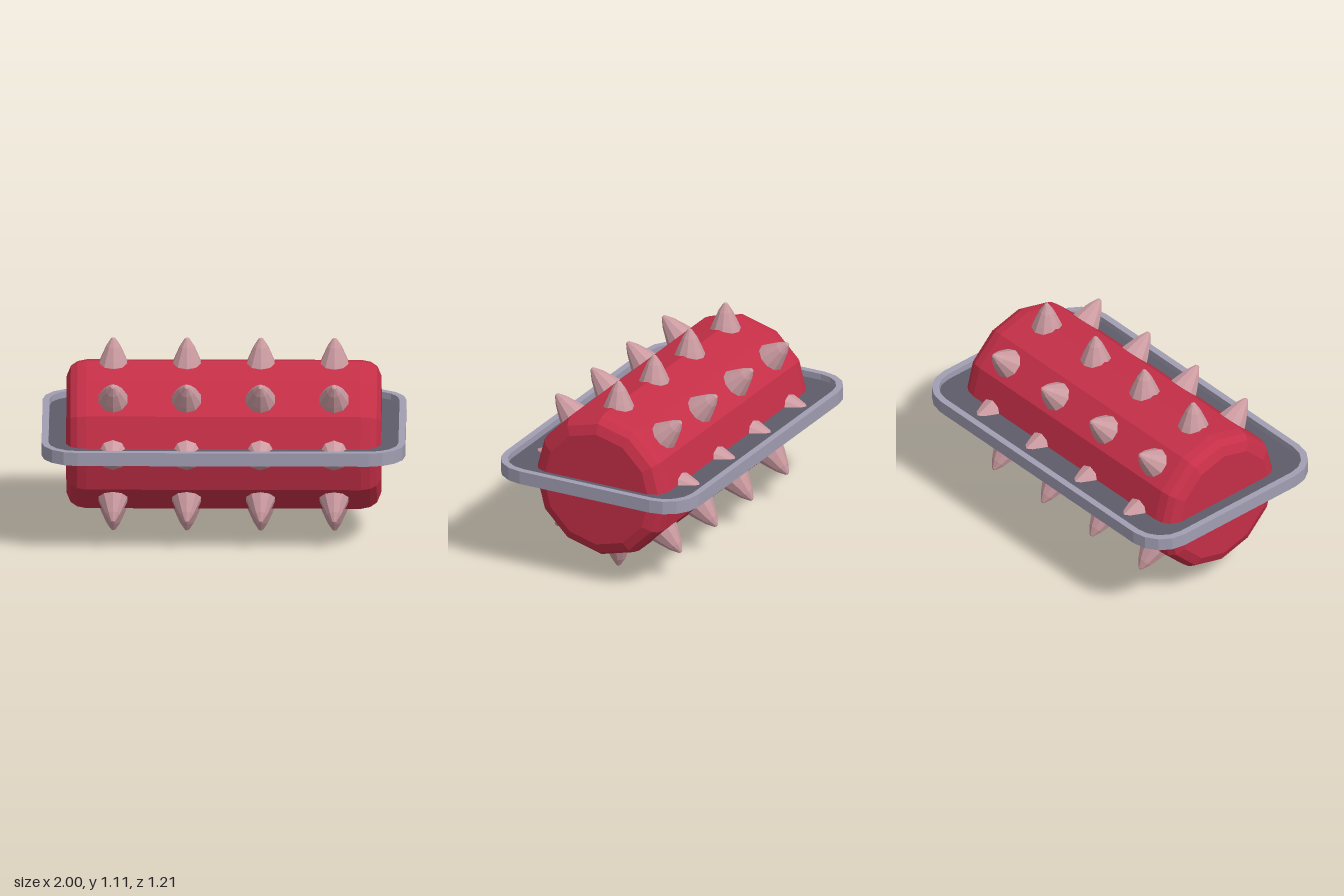
import * as THREE from 'three';

const CENTRE_Y = 0.555;

function material(name, color) {
  const m = new THREE.MeshStandardMaterial({ color });
  m.name = name;
  return m;
}

// Rectangle with rounded corners, made of few segments
function roundedRect(halfX, halfZ, r) {
  const points = [];
  const steps = 4;
  for (let corner = 0; corner < 4; corner++) {
    const sx = corner === 0 || corner === 3 ? 1 : -1;
    const sz = corner < 2 ? 1 : -1;
    for (let i = 0; i <= steps; i++) {
      const a = (corner + i / steps) * Math.PI / 2;
      points.push(new THREE.Vector2(
        sx * (halfX - r) + r * Math.cos(a),
        sz * (halfZ - r) + r * Math.sin(a)));
    }
  }
  return points;
}

// Horizontal slab from a shape, lying between y0 and y1
function slab(shape, y0, y1) {
  const g = new THREE.ExtrudeGeometry(shape, { depth: y1 - y0, bevelEnabled: false });
  g.rotateX(-Math.PI / 2);
  g.translate(0, y0, 0);
  return g;
}

// Faceted turned form; profile is [radius, height] from bottom to top
function turned(profile, sides) {
  const points = profile.map(([r, h]) => new THREE.Vector2(r, h));
  const g = new THREE.LatheGeometry(points, sides).toNonIndexed();
  g.computeVertexNormals();
  return g;
}

export function createModel() {
  const model = new THREE.Group();
  const red = material('body red', 0xc52f47);
  const pink = material('spike pink', 0xcb9ba1);
  const grey = material('rim grey', 0xa19eb2);
  const dark = material('tray dark grey', 0x5e5c69);

  function add(name, geometry, mat, parent = model) {
    const mesh = new THREE.Mesh(geometry, mat);
    mesh.name = name;
    parent.add(mesh);
    return mesh;
  }

  // Twelve-sided barrel lying along x with softened ends
  const end = [[0.42, 0.755], [0.41, 0.805], [0.385, 0.842], [0.33, 0.865], [0, 0.865]];
  const profile = [...end.map(([r, h]) => [r, -h]).reverse(), ...end];
  const body = turned(profile, 12);
  body.rotateZ(-Math.PI / 2);
  add('body', body, red).position.y = CENTRE_Y;

  // Raised rim around the tray
  const rimShape = new THREE.Shape(roundedRect(1, 0.607, 0.2));
  rimShape.holes.push(new THREE.Path(roundedRect(0.962, 0.569, 0.165).reverse()));
  add('rim', slab(rimShape, CENTRE_Y, 0.63), grey);

  // Tray floor inside the rim
  const floorShape = new THREE.Shape(roundedRect(0.97, 0.577, 0.17));
  add('trayFloor', slab(floorShape, 0.582, 0.594), dark);

  // Eight rows of four blunt spikes around the barrel
  const spike = turned(
    [[0.088, 0.36], [0.086, 0.4], [0.072, 0.435], [0.041, 0.505], [0.012, 0.55], [0, 0.555]], 10);
  for (let row = 0; row < 8; row++) {
    const ring = new THREE.Group();
    ring.name = 'spikeRow' + (row + 1);
    ring.position.y = CENTRE_Y;
    ring.rotation.x = row * Math.PI / 4;
    for (const x of [-0.608, -0.203, 0.203, 0.608]) {
      add('spike', spike, pink, ring).position.x = x;
    }
    model.add(ring);
  }

  return model;
}
